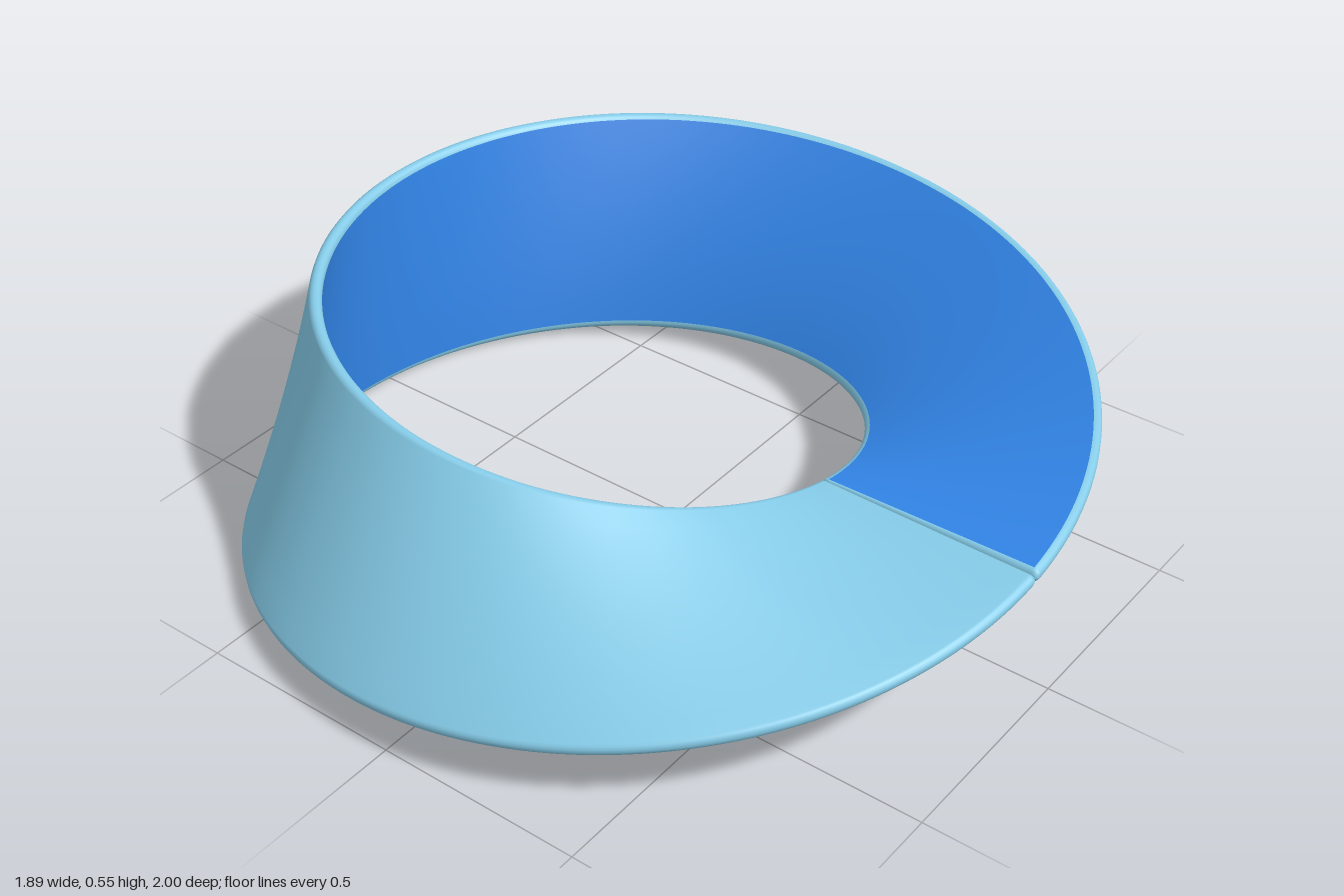
import * as THREE from 'three';

const R = 0.796;   // radius of the centre line
const W = 0.274;   // half width of the band
const H = 0.016;   // half thickness, also the edge radius
const CX = -0.125, CY = 0.275;
const END = 0.013; // angle taken by each rounded end

// Point of the band: angle t, v across the width, n through the thickness
function bandPoint(t, v, n) {
  const c = Math.cos(t / 2), s = Math.sin(t / 2);
  const r = R + v * c - n * s;
  return [CX + r * Math.cos(t), CY + v * s + n * c, -r * Math.sin(t)];
}

// Skin a list of cross-sections [t, points] along the half-twisted path
function skin(sections) {
  const pos = [], idx = [], m = sections[0][1].length;
  for (const [t, pts] of sections) for (const [v, n] of pts) pos.push(...bandPoint(t, v, n));
  for (let i = 0; i < sections.length - 1; i++) {
    for (let j = 0; j < m - 1; j++) {
      const a = i * m + j, b = a + 1, c = a + m, d = c + 1;
      idx.push(a, c, b, b, c, d);
    }
  }
  const g = new THREE.BufferGeometry();
  g.setAttribute('position', new THREE.Float32BufferAttribute(pos, 3));
  g.setIndex(idx);
  g.computeVertexNormals();
  return g;
}

// Straight run across one face, and a semicircle round one edge
const flat = (from, to, n) => Array.from({ length: 13 }, (_, i) => [from + (to - from) * i / 12, n]);
const round = (v, start) => Array.from({ length: 9 }, (_, i) => {
  const a = start + Math.PI * i / 8;
  return [v + H * Math.cos(a), H * Math.sin(a)];
});

export function createModel() {
  const lightBlue = new THREE.MeshStandardMaterial({ color: 0x87ceeb });
  lightBlue.name = 'light blue';
  const deepBlue = new THREE.MeshStandardMaterial({ color: 0x3285e8 });
  deepBlue.name = 'deep blue';

  const f = W - H;
  const innerFace = flat(f, -f, H);
  const outerFace = [
    ...round(-f, Math.PI / 2),
    ...flat(-f, f, -H).slice(1, -1),
    ...round(f, -Math.PI / 2),
  ];
  const wholeLoop = [...outerFace, ...innerFace.slice(1)];

  const group = new THREE.Group();
  group.name = 'twistedBand';
  const add = (name, geometry, material) => {
    const mesh = new THREE.Mesh(geometry, material);
    mesh.name = name;
    group.add(mesh);
  };

  // Long faces of the band
  const run = (profile) => Array.from({ length: 241 }, (_, i) =>
    [END + (2 * Math.PI - 2 * END) * i / 240, profile]);
  add('outerFaceAndEdges', skin(run(outerFace)), lightBlue);
  add('innerFace', skin(run(innerFace)), deepBlue);

  // Rounded ends meeting in a groove at the seam
  const endSection = (t, a) => [t, wholeLoop.map(([v, n]) =>
    [v * (1 - 0.03 * (1 - Math.sin(a))), n * Math.sin(a)])];
  const start = [], finish = [];
  for (let i = 0; i <= 6; i++) {
    const a = Math.PI / 2 * i / 6, t = END * (1 - Math.cos(a));
    start.push(endSection(t, a));
    finish.unshift(endSection(2 * Math.PI - t, a));
  }
  add('startEnd', skin(start), lightBlue);
  add('finishEnd', skin(finish), lightBlue);
  return group;
}
